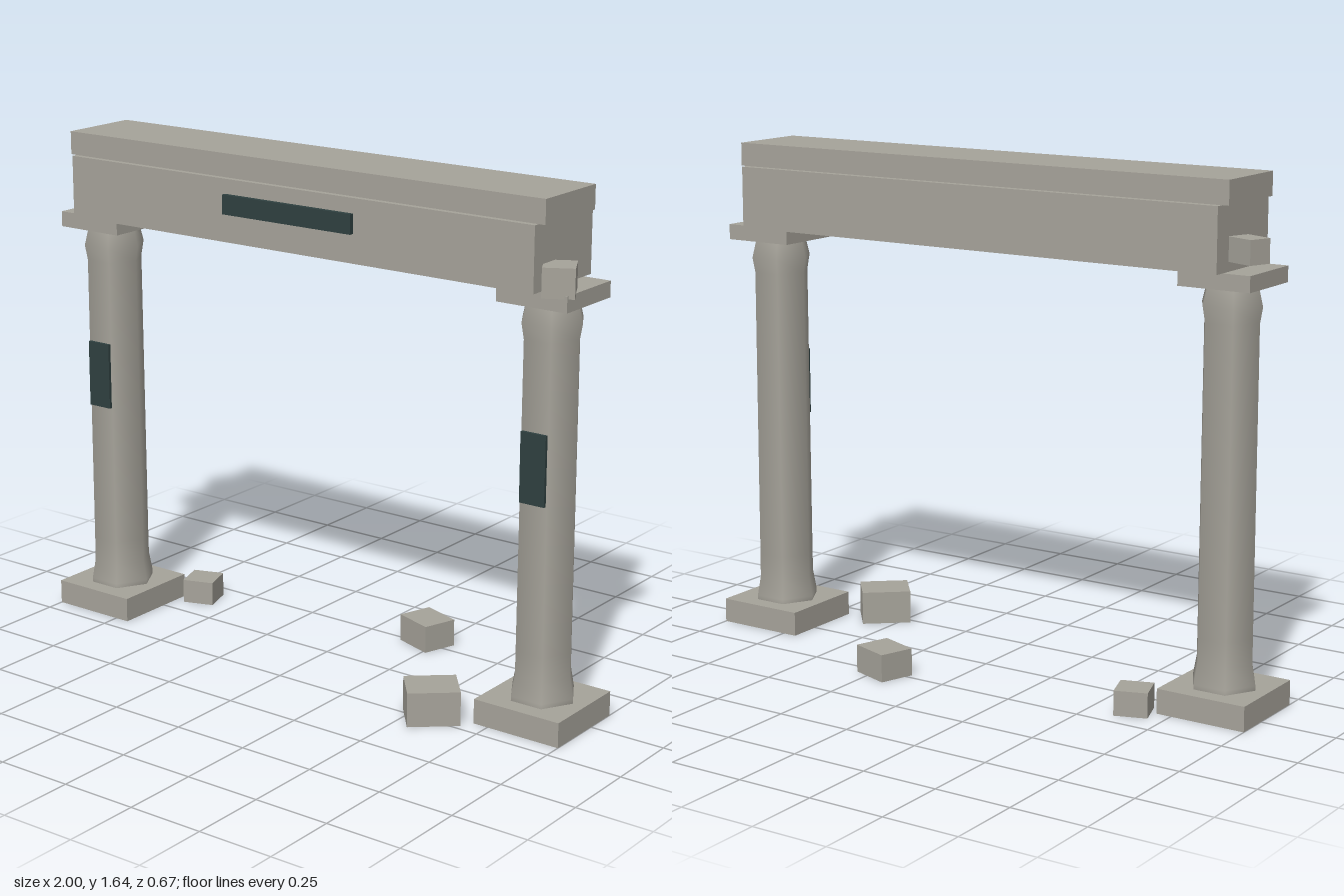
import * as THREE from 'three';

export function createModel() {
  const group = new THREE.Group();
  const stone = new THREE.MeshStandardMaterial({ color: 0xa6a39a });
  const dark = new THREE.MeshStandardMaterial({ color: 0x2f4040 });
  const Z = 0.04; // centre line of the gate

  function box(name, size, pos, mat = stone, turn = 0, parent = group) {
    const mesh = new THREE.Mesh(new THREE.BoxGeometry(...size), mat);
    mesh.name = name;
    mesh.position.set(...pos);
    mesh.rotation.y = turn;
    parent.add(mesh);
    return mesh;
  }

  // Six-sided shaft with flared foot and swelling neck, a flat side facing forward
  const profile = [
    [0.108, 0.08], [0.108, 0.095], [0.096, 0.16], [0.0955, 0.24],
    [0.093, 1.21], [0.102, 1.26], [0.087, 1.32],
  ].map(([r, y]) => new THREE.Vector2(r, y));
  const shaftGeometry = new THREE.LatheGeometry(profile, 6, Math.PI / 2);

  for (const side of [-1, 1]) {
    const column = new THREE.Group();
    column.name = side > 0 ? 'leftColumn' : 'rightColumn';
    column.position.set(side * 0.85, 0, Z);
    box('plinth', [0.3, 0.08, 0.3], [0, 0.04, 0], stone, 0, column);
    const shaft = new THREE.Mesh(shaftGeometry, stone);
    shaft.name = 'shaft';
    column.add(shaft);
    box('capital', [0.24, 0.05, 0.24], [0, 1.345, 0], stone, 0, column);
    box('columnPanel', [0.087, 0.22, 0.014], [0, 0.825, 0.084], dark, 0, column);
    group.add(column);
  }

  // Lintel, its cap and the inset panel
  box('lintel', [1.76, 0.2, 0.315], [0, 1.47, Z]);
  box('lintelCap', [1.805, 0.075, 0.27], [0, 1.6075, Z + 0.003]);
  box('lintelPanel', [0.49, 0.062, 0.02], [0, 1.492, 0.203], dark);

  // Loose blocks: size, position, turn
  const blocks = [
    [[0.106, 0.08, 0.106], [-0.633, 0.04, -0.132], 0.33],
    [[0.138, 0.09, 0.117], [0.216, 0.045, -0.262], -0.33],
    [[0.163, 0.11, 0.138], [0.5725, 0.055, 0.23], 0.7],
    [[0.097, 0.075, 0.075], [-0.937, 1.437, -0.028], -0.37],
    [[0.096, 0.09, 0.105], [0.92, 1.405, 0.122], 0.487],
  ];
  for (const [size, pos, turn] of blocks) box('looseBlock', size, pos, stone, turn);

  return group;
}
